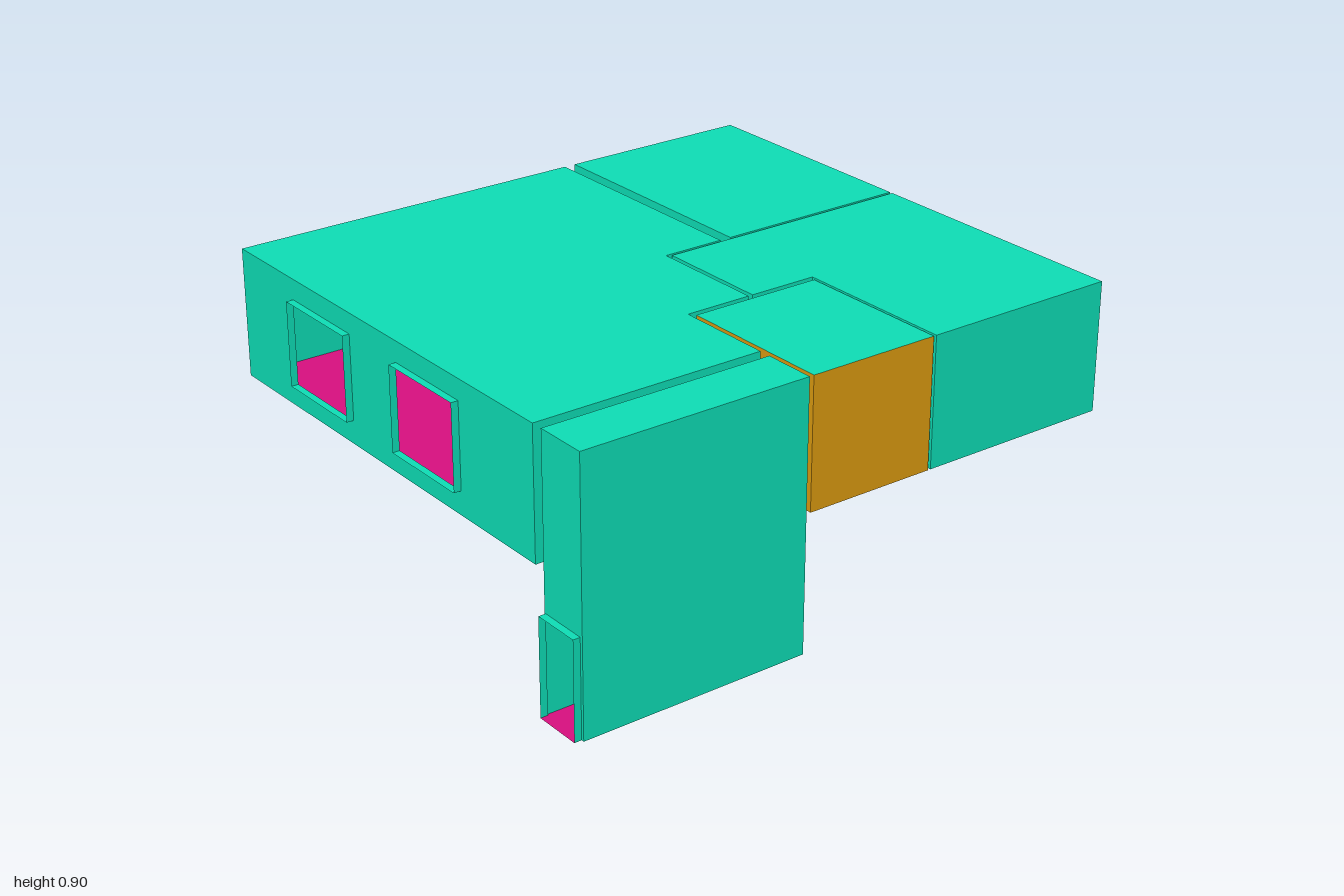
import * as THREE from 'three';
import { mergeGeometries } from 'three/addons/utils/BufferGeometryUtils.js';

const GREEN = 0x0edeb6, PINK = 0xd81080, ORANGE = 0xdb9b10, GREY = 0xcccccc;
const FLOOR = 0.465, TOP = 0.9;
const HEAD = 0.79; // top of the inner doorways

const materials = {};
function material(color) {
  return (materials[color] ??= new THREE.MeshStandardMaterial({ color, side: THREE.DoubleSide }));
}

function mesh(name, geometry, color) {
  const m = new THREE.Mesh(geometry, material(color));
  m.name = name;
  return m;
}

// Openings: short tunnels through the walls, running along the given axis
const openings = [
  { name: 'frontWindowRight', axis: 'z', x: [-0.59, -0.26], y: [0.545, 0.83], z: [0.975, 1.0] },
  { name: 'frontWindowLeft', axis: 'z', x: [0, 0.33], y: [0.545, 0.83], z: [0.975, 1.0] },
  { name: 'backWindowRight', axis: 'z', x: [-0.625, -0.295], y: [0.625, 0.83], z: [-1.0, -0.98] },
  { name: 'backWindowLeft', axis: 'z', x: [0.095, 0.425], y: [0.545, 0.83], z: [-1.0, -0.98] },
  { name: 'sideWindow', axis: 'x', x: [-0.92, -0.9], y: [0.545, 0.83], z: [-0.15, 0.18] },
  { name: 'wideDoorway', axis: 'z', x: [-0.77, -0.19], y: [FLOOR, HEAD], z: [-0.305, -0.265], door: true },
  { name: 'narrowDoorway', axis: 'z', x: [0, 0.17], y: [FLOOR, HEAD], z: [-0.065, -0.05], door: true },
  { name: 'smallRoomDoorway', axis: 'x', x: [0.36, 0.38], y: [FLOOR, HEAD], z: [-0.03, 0.13], door: true },
  { name: 'stairwellDoorway', axis: 'x', x: [0.7, 0.74], y: [FLOOR, HEAD], z: [0.19, 0.345], door: true },
  { name: 'entranceDoorway', axis: 'z', x: [0.745, 0.91], y: [0, 0.33], z: [0.975, 1.0], door: true },
];

// Upright rectangle over the line from a to b, each [x, z]
function panel(a, b, y0, y1) {
  const dx = b[0] - a[0], dz = b[1] - a[1];
  return new THREE.PlaneGeometry(Math.hypot(dx, dz), y1 - y0)
    .rotateY(Math.atan2(-dz, dx))
    .translate((a[0] + b[0]) / 2, (y0 + y1) / 2, (a[1] + b[1]) / 2);
}

// Horizontal face with the outline given as [x, z] points
function slab(points, y) {
  const shape = new THREE.Shape(points.map(([x, z]) => new THREE.Vector2(x, z)));
  return new THREE.ShapeGeometry(shape).rotateX(Math.PI / 2).translate(0, y, 0);
}

// Wall split into panels around every opening that meets it
function wall(a, b, y0, y1) {
  const alongX = Math.abs(a[1] - b[1]) < 1e-6;
  const run = alongX ? 'x' : 'z', axis = alongX ? 'z' : 'x', i = alongX ? 0 : 1;
  const level = a[1 - i], start = Math.min(a[i], b[i]), end = Math.max(a[i], b[i]);
  const at = (t) => (alongX ? [t, level] : [level, t]);
  const cuts = openings
    .filter((o) => o.axis === axis && o[axis].some((v) => Math.abs(v - level) < 1e-4)
      && o[run][0] >= start && o[run][1] <= end)
    .sort((p, q) => p[run][0] - q[run][0]);
  const parts = [];
  const add = (t0, t1, h0, h1) => {
    if (t1 - t0 > 1e-4 && h1 - h0 > 1e-4) parts.push(panel(at(t0), at(t1), h0, h1));
  };
  let t = start;
  for (const o of cuts) {
    add(t, o[run][0], y0, y1);
    add(o[run][0], o[run][1], y0, o.y[0]);
    add(o[run][0], o[run][1], o.y[1], y1);
    t = o[run][1];
  }
  add(t, end, y0, y1);
  return parts;
}

function walls(points, y0, y1) {
  return mergeGeometries(points.flatMap((p, k) => wall(p, points[(k + 1) % points.length], y0, y1)));
}

function room({ name, points, base = FLOOR, wallColor = GREEN, floorColor = PINK }) {
  const g = new THREE.Group();
  g.name = name;
  g.add(
    mesh('walls', walls(points, base, TOP), wallColor),
    mesh('ceiling', slab(points, TOP), GREEN),
    mesh('floor', slab(points, base), floorColor),
  );
  return g;
}

const rect = (x0, x1, z0, z1) => [[x0, z0], [x1, z0], [x1, z1], [x0, z1]];

// Tunnel lining: two jambs, a head and a sill
function reveal(o) {
  const g = new THREE.Group();
  g.name = o.name;
  const c = rect(...o.x, ...o.z);
  const [p, q] = o.axis === 'z' ? [[c[0], c[3]], [c[1], c[2]]] : [[c[0], c[1]], [c[3], c[2]]];
  g.add(
    mesh('frame', mergeGeometries([panel(...p, ...o.y), panel(...q, ...o.y)]), GREEN),
    mesh('head', slab(c, o.y[1]), GREEN),
    mesh('sill', slab(c, o.y[0]), o.door ? PINK : GREEN),
  );
  return g;
}

const rooms = [
  { name: 'backRightRoom', points: rect(-0.9, -0.05, -0.98, -0.305) },
  {
    name: 'backLeftRoom',
    points: [[-0.04, -0.98], [0.92, -0.98], [0.92, -0.3], [0.36, -0.3], [0.36, -0.065], [-0.04, -0.065]],
  },
  {
    name: 'mainRoom',
    points: [[-0.9, -0.265], [-0.05, -0.265], [-0.05, -0.05], [0.36, -0.05],
      [0.36, 0.18], [0.7, 0.18], [0.7, 0.975], [-0.9, 0.975]],
  },
  { name: 'smallRoom', points: rect(0.38, 0.92, -0.29, 0.165), wallColor: ORANGE, floorColor: GREY },
  { name: 'stairwell', points: rect(0.74, 0.92, 0.18, 0.975), base: 0 },
];

export function createModel() {
  const model = new THREE.Group();
  model.name = 'apartment';
  rooms.forEach((r) => model.add(room(r)));
  openings.forEach((o) => model.add(reveal(o)));
  // Free-standing pillar in the main room
  model.add(mesh('pillar', walls(rect(-0.57, -0.36, 0.25, 0.31), FLOOR, TOP), GREEN));
  return model;
}
